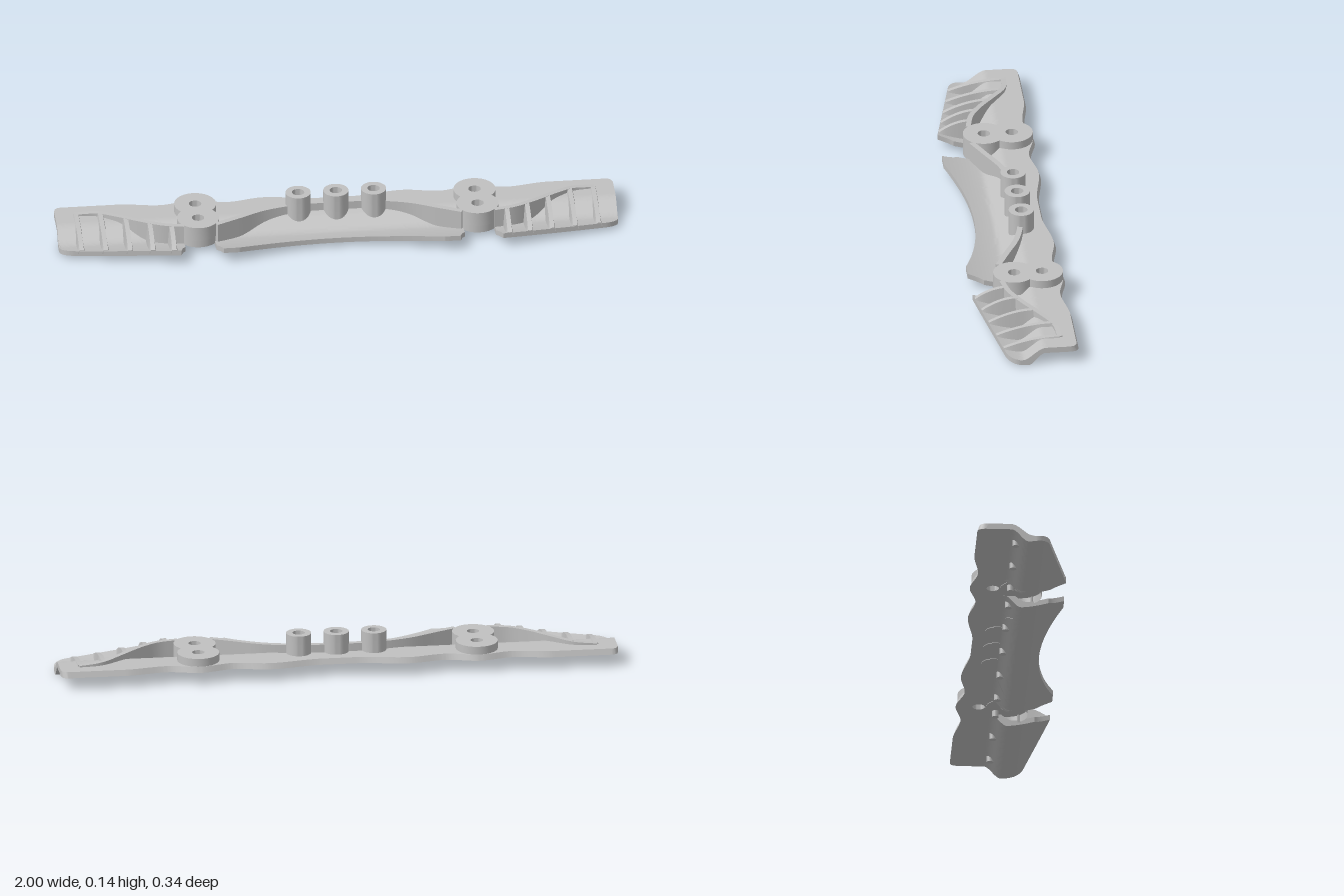
import * as THREE from 'three';
import { toCreasedNormals } from 'three/addons/utils/BufferGeometryUtils.js';

const grey = new THREE.MeshStandardMaterial({ color: 0xc0c0c0, side: THREE.DoubleSide });
grey.name = 'grey';

const step = THREE.MathUtils.smoothstep;
const lerp = THREE.MathUtils.lerp;

// Eased interpolation in a short table of [x, value] pairs
function table(points, x) {
  for (let i = 1; i < points.length; i++) {
    const [x0, v0] = points[i - 1], [x1, v1] = points[i];
    if (x <= x1) return lerp(v0, v1, step(x, x0, x1));
  }
  return points[points.length - 1][1];
}

// Plate section: flat at the back, a steep step down to a trough, a rising front lip
const lip = (z) => 0.038 * Math.pow(Math.max(0, z - 0.015) / 0.155, 1.5);
const under = (z) => lerp(0.047, 0.001, step(z, -0.047, 0.013)) + lip(z);
const over = (z) => lerp(0.068, 0.02, step(z, -0.05, 0.038)) + lip(z);

// Outline of the plate seen from above
const backTable = [[0, -0.141], [0.06, -0.141], [0.25, -0.166], [0.38, -0.146],
  [0.5, -0.172], [0.62, -0.149], [0.77, -0.169], [0.975, -0.169]];
function backEdge(x) {
  const a = Math.abs(x);
  const corner = a > 0.975 ? 0.025 - Math.sqrt(Math.max(0, 0.025 ** 2 - (a - 0.975) ** 2)) : 0;
  return table(backTable, a) + corner;
}
function frontEdge(x) {
  const a = Math.abs(x), d = a - 0.5;
  if (Math.abs(d) < 0.072) return 0.157 - Math.sqrt(0.072 ** 2 - d * d);
  if (a < 0.5) return 0.1 + 0.068 * Math.min(1, a / 0.37) ** 2;
  const corner = a > 0.95 ? 0.035 - Math.sqrt(Math.max(0, 0.05 ** 2 - (a - 0.95) ** 2)) * 0.7 : 0;
  return 0.168 - 0.083 * (a - 0.575) / 0.4 - corner;
}
const slotEdge = () => -0.14;

// Closed solid through equal rings of [x, y, z] points
function loft(rings) {
  const n = rings[0].length, index = [];
  const quad = (a, b, c, d) => index.push(a, b, c, a, c, d);
  for (let s = 0; s < rings.length - 1; s++) {
    for (let i = 0; i < n; i++) {
      const j = (i + 1) % n;
      quad(s * n + i, s * n + j, (s + 1) * n + j, (s + 1) * n + i);
    }
  }
  const e = (rings.length - 1) * n;
  for (let i = 0; i < n / 2 - 1; i++) {
    quad(n - 1 - i, n - 2 - i, i + 1, i);
    quad(e + i, e + i + 1, e + n - 2 - i, e + n - 1 - i);
  }
  const g = new THREE.BufferGeometry();
  g.setAttribute('position', new THREE.Float32BufferAttribute(rings.flat(2), 3));
  g.setIndex(index);
  return toCreasedNormals(g, 0.6);
}

// One stretch of the curved plate
function plateSection(x0, x1, steps, front) {
  const rings = [], n = 32;
  for (let s = 0; s <= steps; s++) {
    const x = lerp(x0, x1, s / steps), f = front(x), b = backEdge(x);
    const top = [], bottom = [];
    for (let i = 0; i <= n; i++) {
      const zt = lerp(b + 0.007, f, i / n), zb = lerp(b, f, i / n);
      top.push([x, over(zt), zt]);
      bottom.unshift([x, under(zb), zb]);
    }
    rings.push([...top, ...bottom]);
  }
  return loft(rings);
}

// Upright wall along a path of [x, z] points, standing on the plate; flare widens its foot
function wall(points, thick, topY, steps, flare = 1) {
  const curve = new THREE.CatmullRomCurve3(points.map(([x, z]) => new THREE.Vector3(x, 0, z)));
  const rings = [];
  for (let s = 0; s <= steps; s++) {
    const p = curve.getPoint(s / steps), t = curve.getTangent(s / steps);
    const sx = -t.z * thick / 2, sz = t.x * thick / 2;
    const y1 = topY(Math.abs(p.x), s / steps), y0 = Math.min(under(p.z) + 0.008, y1 - 0.002);
    rings.push([[p.x - sx, y1, p.z - sz], [p.x + sx, y1, p.z + sz],
      [p.x + sx * flare, y0, p.z + sz * flare], [p.x - sx * flare, y0, p.z - sz * flare]]);
  }
  return loft(rings);
}

// Round boss with a bore; the bore stops at floorY, or goes right through
function boss(r, bore, y0, y1, floorY) {
  const pts = floorY === undefined
    ? [[bore, y0], [r, y0], [r, y1], [bore, y1], [bore, y0]]
    : [[0, y0], [r, y0], [r, y1], [bore, y1], [bore, floorY], [0, floorY]];
  const g = new THREE.LatheGeometry(pts.map(([a, b]) => new THREE.Vector2(a, b)), 40);
  return toCreasedNormals(g, 0.6);
}

export function createModel() {
  const model = new THREE.Group();
  model.name = 'mountingBar';
  const add = (name, geometry, x = 0, y = 0, z = 0) => {
    const m = new THREE.Mesh(geometry, grey);
    m.name = name;
    m.position.set(x, y, z);
    model.add(m);
  };

  // Plate, split at the mounting slots
  const slot = 0.056;
  add('plateCentre', plateSection(slot - 0.5, 0.5 - slot, 180, frontEdge));
  add('plateLeftBridge', plateSection(0.5 - slot, 0.5 + slot, 12, slotEdge));
  add('plateRightBridge', plateSection(-0.5 - slot, slot - 0.5, 12, slotEdge));
  add('plateLeftEnd', plateSection(0.5 + slot, 1, 90, frontEdge));
  add('plateRightEnd', plateSection(-1, -0.5 - slot, 90, frontEdge));

  // Arched wall between the mounts
  const arch = [[0.44, 0.06], [0.36, 0.022], [0.26, -0.025], [0.14, -0.052], [0, -0.057]];
  const archPath = [...arch.map(([x, z]) => [-x, z]), ...arch.slice(0, -1).reverse()];
  add('archWall', wall(archPath, 0.02, () => 0.097, 60));

  // Three tall posts
  for (const x of [-0.135, 0, 0.135]) add('post', boss(0.045, 0.022, 0.045, 0.142, 0.1), x, 0, -0.055);

  const sweep = [[0.555, 0.06], [0.63, 0.043], [0.7, 0.005], [0.78, -0.052], [0.85, -0.096], [0.93, -0.107]];
  const sweepTop = (x) => lerp(0.097, 0.072, step(x, 0.62, 0.98));
  const sweepZ = (x) => {
    const i = sweep.findIndex((p) => p[0] >= x);
    const [a, b] = [sweep[i - 1], sweep[i]];
    return lerp(a[1], b[1], (x - a[0]) / (b[0] - a[0]));
  };

  for (const s of [1, -1]) {
    // Twin mounting bosses with through holes, and a skirt round the front one
    add('rearMount', boss(0.075, 0.022, 0.047, 0.097), s * 0.5, 0, -0.09);
    add('frontMount', boss(0.075, 0.022, 0.045, 0.097), s * 0.5, 0, 0.01);
    add('mountSkirt', new THREE.CylinderGeometry(0.0745, 0.0745, 0.032, 32, 1, true, -0.5 * Math.PI, Math.PI),
      s * 0.5, 0.034, 0.01);

    // Swept wall running to the end
    add('sweptWall', wall(sweep.map(([x, z]) => [s * x, z]), 0.018, sweepTop, 36));

    // Ribs from the swept wall down to the front lip
    for (const x of [0.6, 0.675, 0.755, 0.84, 0.925]) {
      const z0 = sweepZ(x), z1 = frontEdge(x) - 0.002;
      const yEnd = over(z1) + 0.003;
      const ribTop = (ax, t) => lerp(sweepTop(x), yEnd, t * t);
      add('rib', wall([[s * x, z0], [s * x, (z0 + z1) / 2], [s * x, z1]], 0.016, ribTop, 14, 1.8));
    }
  }

  // Small pegs under the plate
  for (const x of [-0.91, -0.72, -0.53, -0.39, -0.2, 0, 0.2, 0.39, 0.53, 0.72, 0.91]) {
    add('peg', new THREE.CylinderGeometry(0.012, 0.012, 0.028, 16), x, 0.036, -0.029);
  }
  return model;
}
